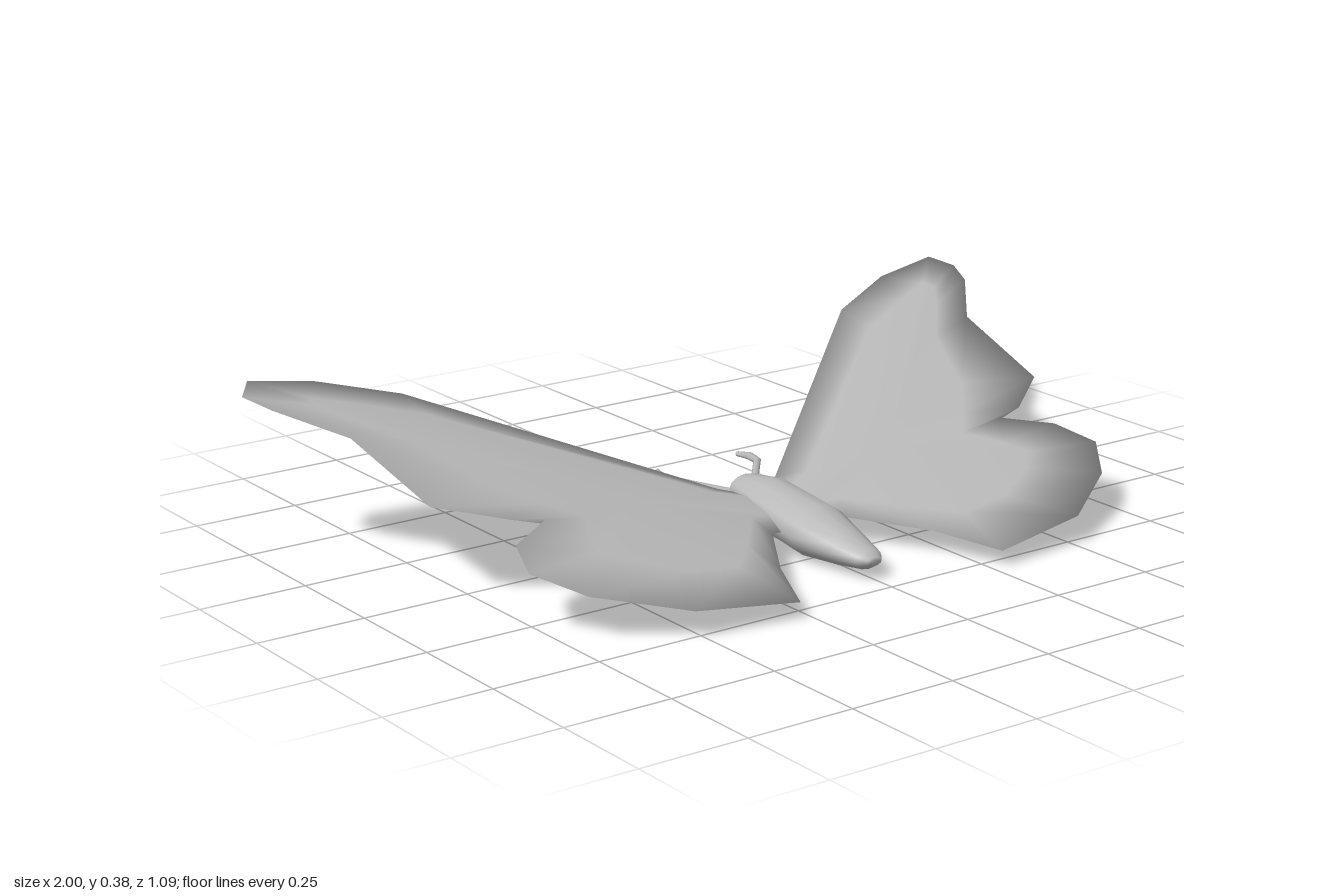
import * as THREE from 'three';

function meshGeometry(points, index) {
  const g = new THREE.BufferGeometry();
  g.setAttribute('position', new THREE.Float32BufferAttribute(points.flat(), 3));
  g.setIndex(index);
  g.computeVertexNormals();
  return g;
}

// Closed loft through ellipses; sections run toward +z: [z, cx, cy, halfWidth, halfHeight]
function loft(sections, sides) {
  const pts = [], idx = [], last = (sections.length - 1) * sides;
  for (const [z, cx, cy, w, h] of sections)
    for (let j = 0; j < sides; j++) {
      const a = (j / sides) * Math.PI * 2;
      pts.push([cx + w * Math.cos(a), cy + h * Math.sin(a), z]);
    }
  for (let i = 0; i < sections.length - 1; i++)
    for (let j = 0; j < sides; j++) {
      const a = i * sides + j, b = i * sides + (j + 1) % sides;
      idx.push(a, b, a + sides, b, b + sides, a + sides);
    }
  const start = pts.length, first = sections[0], end = sections[sections.length - 1];
  pts.push([first[1], first[2], first[0]], [end[1], end[2], end[0]]);
  for (let j = 0; j < sides; j++) {
    const k = (j + 1) % sides;
    idx.push(start, k, j, start + 1, last + j, last + k);
  }
  return meshGeometry(pts, idx);
}

// Wing rim [x, y, z] and the matching inset point [x, z] of the padded middle
const rim = [
  [[0.02, 0.085, 0.01], [0.06, 0.06]],
  [[0.08, 0.1, -0.02], [0.13, 0.03]],
  [[0.62, 0.31, -0.47], [0.62, -0.36]],
  [[0.8, 0.353, -0.54], [0.77, -0.42]],
  [[0.96, 0.378, -0.55], [0.86, -0.45]],
  [[1.0, 0.36, -0.5], [0.87, -0.42]],
  [[0.97, 0.343, -0.42], [0.83, -0.36]],
  [[0.86, 0.295, -0.28], [0.73, -0.24]],
  [[0.835, 0.21, 0], [0.66, -0.06]],
  [[0.7, 0.182, 0.1], [0.58, 0.04]],
  [[0.625, 0.175, 0.12], [0.52, 0.11]],
  [[0.74, 0.155, 0.18], [0.57, 0.2]],
  [[0.775, 0.13, 0.285], [0.59, 0.26]],
  [[0.7, 0.095, 0.39], [0.54, 0.31]],
  [[0.52, 0.06, 0.51], [0.43, 0.37]],
  [[0.275, 0.036, 0.54], [0.31, 0.37]],
  [[0.21, 0.053, 0.385], [0.22, 0.28]],
  [[0.1, 0.06, 0.21], [0.12, 0.16]],
  [[0.02, 0.06, 0.21], [0.06, 0.15]],
];
const wingHeight = (x, z) => 0.09 + 0.14 * x - (z < 0 ? 0.27 : 0.2) * z;

function wing(side) {
  const n = rim.length, pts = rim.map(([p]) => p), idx = [];
  const add = (a, b, c, flip) => (flip ? idx.push(a, c, b) : idx.push(a, b, c));
  for (const top of [true, false]) {
    const o = pts.length, lift = top ? 0.014 : -0.012;
    for (const [, [x, z]] of rim) pts.push([x, wingHeight(x, z) + lift, z]);
    pts.push([0.36, wingHeight(0.36, 0.04) + lift, 0.04]);
    const flip = top !== (side > 0);
    for (let i = 0; i < n; i++) {
      const k = (i + 1) % n;
      add(i, o + k, k, flip);
      add(i, o + i, o + k, flip);
      add(o + n, o + k, o + i, flip);
    }
  }
  return meshGeometry(pts.map(([x, y, z]) => [x * side, y, z]), idx);
}

export function createModel() {
  const group = new THREE.Group();
  const grey = new THREE.MeshStandardMaterial({ color: 0xb8b8b8 });
  grey.name = 'grey';
  const addPart = (name, geometry) => {
    const mesh = new THREE.Mesh(geometry, grey);
    mesh.name = name;
    group.add(mesh);
  };

  // Head, thorax and tapering abdomen in one skin
  addPart('body', loft([
    [-0.045, 0, 0.09, 0.025, 0.015],
    [-0.025, 0, 0.092, 0.045, 0.028],
    [0.07, 0, 0.077, 0.068, 0.057],
    [0.24, 0, 0.057, 0.078, 0.057],
    [0.35, 0, 0.045, 0.055, 0.036],
    [0.42, 0, 0.04, 0.036, 0.022],
    [0.44, 0, 0.04, 0.02, 0.01],
  ], 12));

  for (const side of [1, -1]) {
    const label = side > 0 ? 'left' : 'right';
    addPart(label + 'Wing', wing(side));
    // Bent feeler with a thicker tip
    addPart(label + 'Antenna', loft([
      [-0.21, side * 0.113, 0.1, 0.006, 0.006],
      [-0.18, side * 0.126, 0.1, 0.013, 0.008],
      [-0.145, side * 0.122, 0.099, 0.011, 0.007],
      [-0.08, side * 0.068, 0.088, 0.011, 0.007],
      [-0.05, side * 0.046, 0.084, 0.012, 0.007],
      [-0.01, side * 0.02, 0.08, 0.014, 0.008],
    ], 6));
  }
  return group;
}
